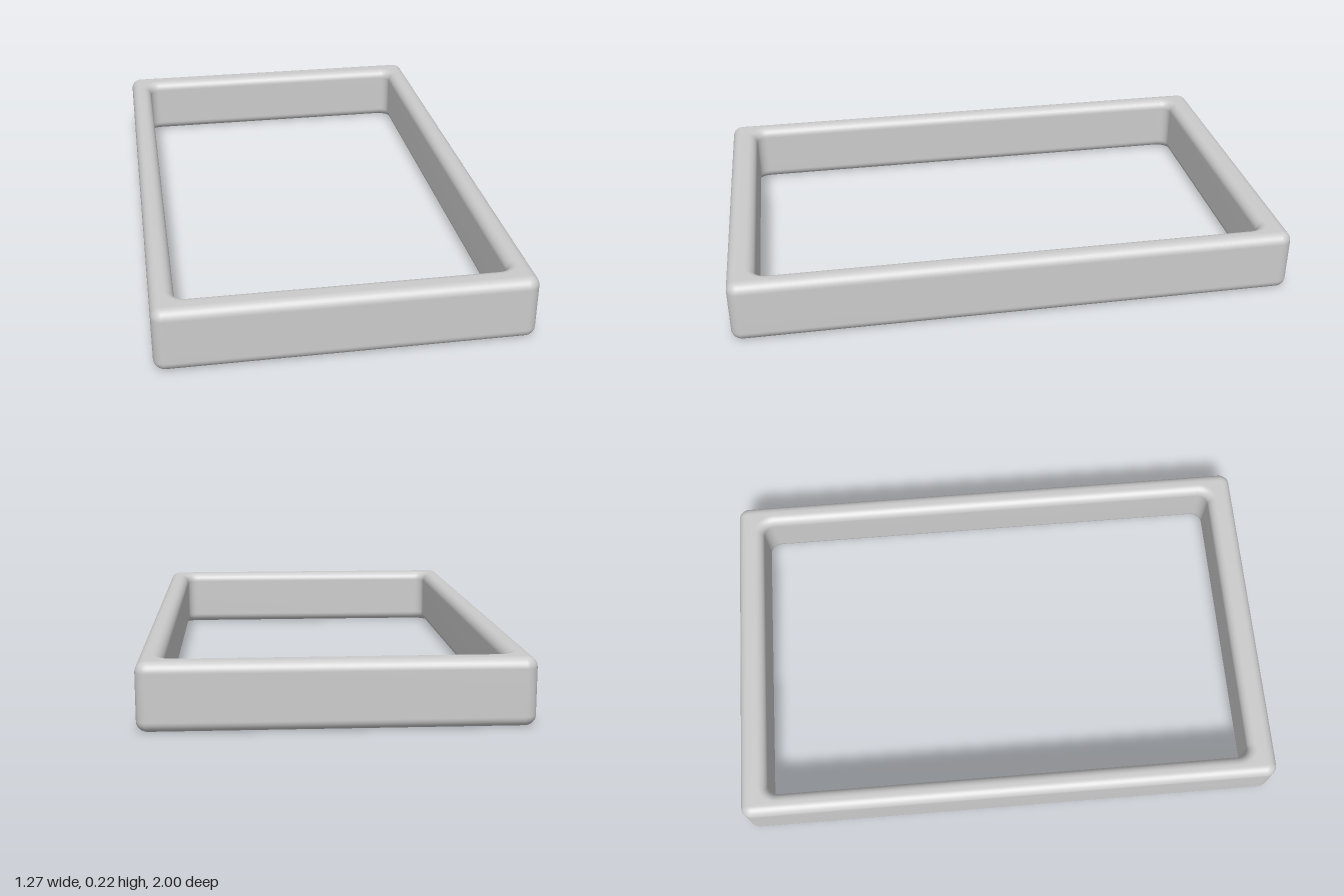
import * as THREE from 'three';

const HEIGHT = 0.225, BEVEL = 0.035, CORNER = 0.04, STEPS = 8;

// Closed wall cross-section: each point gives a corner centre (cx, cz), corner radius r and height y
function wallSection() {
  const outer = { cx: 0.593, cz: 0.96 }, inner = { cx: 0.512, cz: 0.862 };
  const section = [];
  const edge = (side, sign, top, from, to) => {
    for (let k = 0; k <= STEPS; k++) {
      const t = (from + (to - from) * k / STEPS) * Math.PI / 2;
      const inset = BEVEL * (1 - Math.cos(t)), drop = BEVEL * (1 - Math.sin(t));
      section.push({ ...side, r: CORNER - sign * inset, y: top ? HEIGHT - drop : drop });
    }
  };
  edge(outer, 1, false, 1, 0);
  edge(outer, 1, true, 0, 1);
  edge(inner, -1, true, 1, 0);
  edge(inner, -1, false, 0, 1);
  // reorder the bottom edges so that the section runs from the underside outward and up
  const n = STEPS + 1;
  return [...section.slice(0, n).sort((a, b) => a.y - b.y), ...section.slice(n, 3 * n),
    ...section.slice(3 * n).sort((a, b) => b.y - a.y)];
}

// Sweeps the section round the four rounded corners
function frameGeometry() {
  const section = wallSection(), positions = [], indices = [];
  const around = 4 * (STEPS + 1);
  for (const { cx, cz, r, y } of section) {
    for (let q = 0; q < 4; q++) {
      const sx = q === 0 || q === 3 ? 1 : -1, sz = q < 2 ? 1 : -1;
      for (let k = 0; k <= STEPS; k++) {
        const a = (q + k / STEPS) * Math.PI / 2;
        positions.push(sx * cx + r * Math.cos(a), y, sz * cz + r * Math.sin(a));
      }
    }
  }
  for (let j = 0; j < section.length; j++) {
    const next = (j + 1) % section.length;
    for (let i = 0; i < around; i++) {
      const i2 = (i + 1) % around;
      const a = j * around + i, b = next * around + i, c = next * around + i2, d = j * around + i2;
      indices.push(a, b, c, a, c, d);
    }
  }
  const geometry = new THREE.BufferGeometry();
  geometry.setAttribute('position', new THREE.Float32BufferAttribute(positions, 3));
  geometry.setIndex(indices);
  geometry.computeVertexNormals();
  return geometry;
}

export function createModel() {
  const group = new THREE.Group();
  group.name = 'rectangularFrame';
  const frame = new THREE.Mesh(frameGeometry(), new THREE.MeshStandardMaterial({ color: 0xcccccc }));
  frame.name = 'frame';
  group.add(frame);
  return group;
}
